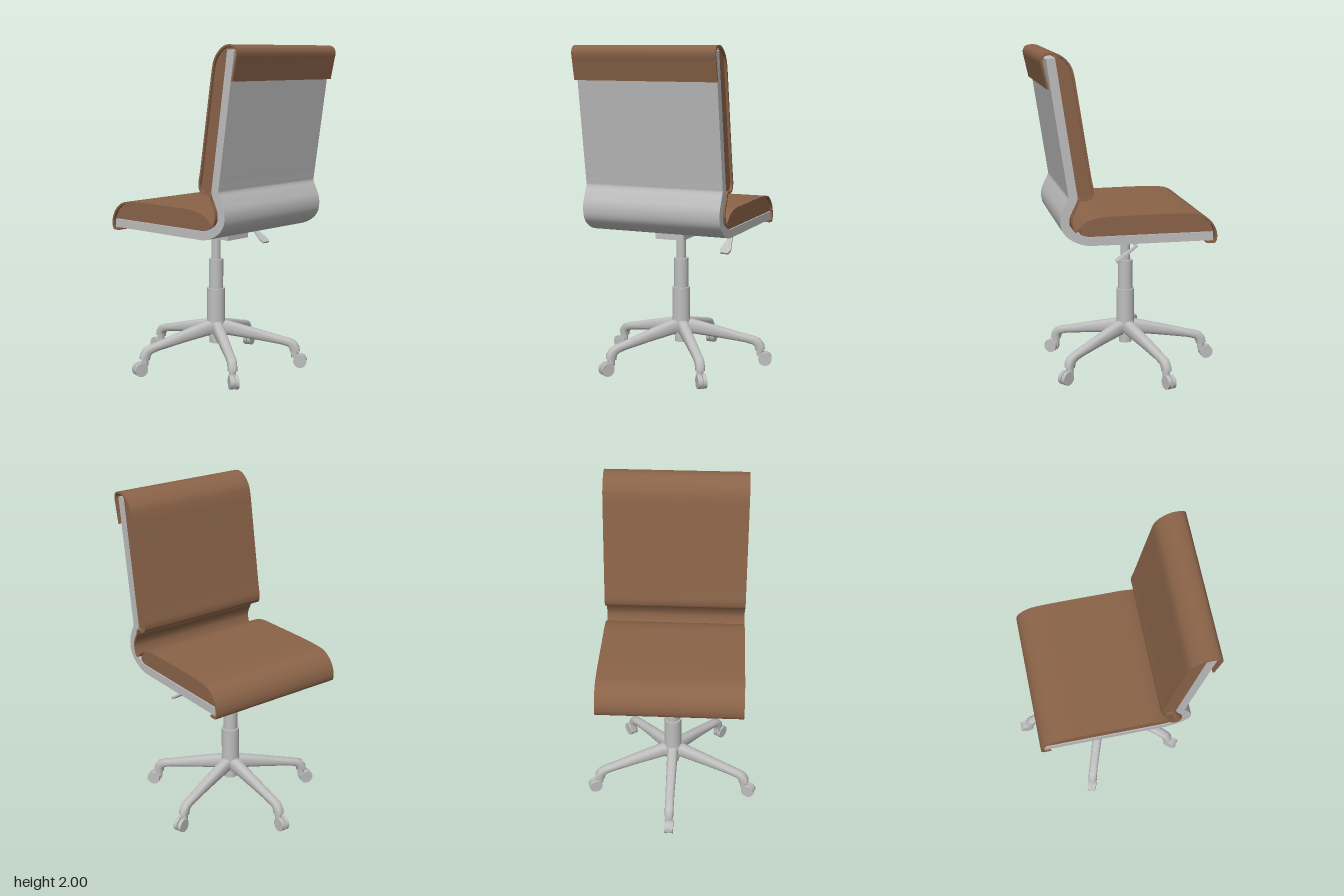
import * as THREE from 'three';
import { toCreasedNormals } from 'three/addons/utils/BufferGeometryUtils.js';

const upholstery = new THREE.MeshStandardMaterial({ color: 0x8a6348 });
upholstery.name = 'brown upholstery';
const grey = new THREE.MeshStandardMaterial({ color: 0xbebebe });
grey.name = 'light grey';

function add(parent, name, geometry, material, x = 0, y = 0, z = 0) {
  const mesh = new THREE.Mesh(geometry, material);
  mesh.name = name;
  mesh.position.set(x, y, z);
  parent.add(mesh);
  return mesh;
}

// Side profile given as (z, y), extruded across the width of the chair
function acrossWidth(points, halfWidth) {
  const geo = new THREE.ExtrudeGeometry(new THREE.Shape(points), { depth: halfWidth * 2, bevelEnabled: false });
  geo.translate(0, 0, -halfWidth);
  geo.rotateY(-Math.PI / 2);
  return toCreasedNormals(geo, 0.6);
}

// Bent sheet of even thickness following a smooth (z, y) centre line
function bentSheet(path, thickness, halfWidth) {
  const curve = new THREE.CatmullRomCurve3(path.map(([z, y]) => new THREE.Vector3(z, y, 0)), false, 'centripetal');
  const n = (path.length - 1) * 5;
  const sideA = [], sideB = [];
  for (let i = 0; i <= n; i++) {
    const p = curve.getPoint(i / n), t = curve.getTangent(i / n);
    const ox = -t.y * thickness / 2, oy = t.x * thickness / 2;
    sideA.push(new THREE.Vector2(p.x + ox, p.y + oy));
    sideB.unshift(new THREE.Vector2(p.x - ox, p.y - oy));
  }
  return acrossWidth([...sideA, ...sideB], halfWidth);
}

const vec2 = (list) => list.map(([a, b]) => new THREE.Vector2(a, b));

// Tapered leg lofted through rounded sections: [radius, y, width, height]
function legGeometry() {
  const stations = [
    [0.02, 0.243, 0.075, 0.095], [0.07, 0.241, 0.07, 0.09], [0.25, 0.205, 0.062, 0.068],
    [0.41, 0.17, 0.056, 0.05], [0.455, 0.159, 0.056, 0.052], [0.482, 0.145, 0.056, 0.058],
    [0.495, 0.122, 0.056, 0.064], [0.498, 0.1, 0.054, 0.062],
  ];
  const sides = 16, pos = [], index = [];
  stations.forEach(([r, y, w, h], i) => {
    const a = stations[Math.max(i - 1, 0)], b = stations[Math.min(i + 1, stations.length - 1)];
    const len = Math.hypot(b[0] - a[0], b[1] - a[1]);
    const tr = (b[0] - a[0]) / len, ty = (b[1] - a[1]) / len;
    for (let j = 0; j < sides; j++) {
      const ang = (j / sides) * Math.PI * 2, c = Math.cos(ang), s = Math.sin(ang);
      const u = Math.sign(c) * Math.abs(c) ** 0.7 * w / 2;
      const v = Math.sign(s) * Math.abs(s) ** 0.7 * h / 2;
      pos.push(u, y + tr * v, r - ty * v);
    }
  });
  for (let i = 0; i < stations.length - 1; i++) {
    for (let j = 0; j < sides; j++) {
      const k = (j + 1) % sides, a = i * sides, b = a + sides;
      index.push(a + j, a + k, b + k, a + j, b + k, b + j);
    }
  }
  // foot cap
  const last = (stations.length - 1) * sides;
  for (let j = 1; j < sides - 1; j++) index.push(last, last + j, last + j + 1);
  const geo = new THREE.BufferGeometry();
  geo.setAttribute('position', new THREE.Float32BufferAttribute(pos, 3));
  geo.setIndex(index);
  return toCreasedNormals(geo, 0.8);
}

function createCaster() {
  const caster = new THREE.Group();
  caster.name = 'caster';
  add(caster, 'casterStem', new THREE.CylinderGeometry(0.022, 0.022, 0.05, 16), grey, 0, 0.087, 0.497);
  const fork = add(caster, 'casterFork', new THREE.BoxGeometry(0.03, 0.05, 0.035), grey, 0, 0.068, 0.505);
  fork.rotation.x = -0.5;
  for (const side of [-1, 1]) {
    const wheel = new THREE.CylinderGeometry(0.042, 0.042, 0.023, 24);
    wheel.rotateZ(Math.PI / 2);
    add(caster, 'casterWheel', wheel, grey, side * 0.0155, 0.042, 0.53);
  }
  const axle = new THREE.CylinderGeometry(0.03, 0.03, 0.02, 16);
  axle.rotateZ(Math.PI / 2);
  add(caster, 'casterAxle', axle, grey, 0, 0.042, 0.53);
  return caster;
}

function createBase() {
  const base = new THREE.Group();
  base.name = 'base';
  const leg = legGeometry();
  for (let i = 0; i < 5; i++) {
    const arm = new THREE.Group();
    arm.name = 'leg';
    add(arm, 'legArm', leg, grey);
    arm.add(createCaster());
    arm.rotation.y = Math.PI + i * Math.PI * 2 / 5;
    base.add(arm);
  }
  // hub and telescopic column: [name, radius, bottom, top]
  const column = [
    ['hubFoot', 0.04, 0.145, 0.2], ['hub', 0.058, 0.19, 0.29], ['lowerColumn', 0.056, 0.28, 0.495],
    ['middleColumn', 0.045, 0.49, 0.68], ['gasPiston', 0.029, 0.675, 0.84],
  ];
  for (const [name, r, lo, hi] of column) {
    add(base, name, new THREE.CylinderGeometry(r, r, hi - lo, 32), grey, 0, (lo + hi) / 2, 0);
  }
  return base;
}

function createMechanism() {
  const mechanism = new THREE.Group();
  mechanism.name = 'mechanism';
  add(mechanism, 'mechanismBox', new THREE.BoxGeometry(0.185, 0.05, 0.375), grey, 0, 0.849, -0.003);
  // mounting plate with cut corners
  const outline = vec2([[0.25, 0.14], [0.17, 0.22], [-0.17, 0.22], [-0.25, 0.14],
    [-0.25, -0.14], [-0.17, -0.22], [0.17, -0.22], [0.25, -0.14]]);
  const plate = new THREE.ExtrudeGeometry(new THREE.Shape(outline), { depth: 0.014, bevelEnabled: false });
  plate.rotateX(-Math.PI / 2);
  add(mechanism, 'mountingPlate', plate, grey, 0, 0.872, 0);
  // height lever and its flared paddle
  const rod = new THREE.CylinderGeometry(0.008, 0.008, 0.26, 12);
  rod.rotateZ(Math.PI / 2);
  add(mechanism, 'leverRod', rod, grey, 0.21, 0.845, 0);
  const paddleShape = new THREE.Shape(vec2([[-0.009, 0.005], [-0.014, -0.03], [-0.035, -0.13],
    [-0.025, -0.155], [0.025, -0.155], [0.035, -0.13], [0.014, -0.03], [0.009, 0.005]]));
  const paddle = new THREE.ExtrudeGeometry(paddleShape, { depth: 0.012, bevelEnabled: false });
  paddle.translate(0, 0, -0.006);
  add(mechanism, 'leverPaddle', paddle, grey, 0.335, 0.845, 0).rotation.x = -0.95;
  return mechanism;
}

export function createModel() {
  const chair = new THREE.Group();
  chair.name = 'officeChair';
  chair.add(createBase(), createMechanism());

  // one-piece shell: flat seat, rounded bend, kinked backrest
  const shellPath = [[-0.44, 0.91], [-0.1, 0.91], [0.25, 0.91], [0.31, 0.912], [0.385, 0.94],
    [0.433, 0.985], [0.442, 1.05], [0.42, 1.11], [0.395, 1.165], [0.398, 1.2], [0.41, 1.28],
    [0.46, 1.61], [0.513, 1.965]];
  add(chair, 'shell', bentSheet(shellPath, 0.052, 0.436), grey);

  // upholstery running from the rear flap, over both cushions, to the front lip
  const coverPath = [[0.53, 1.795], [0.553, 1.9], [0.563, 1.955], [0.551, 1.98], [0.51, 1.99],
    [0.475, 1.984], [0.432, 1.955], [0.402, 1.915], [0.388, 1.87], [0.376, 1.8], [0.297, 1.3],
    [0.281, 1.2], [0.291, 1.17], [0.32, 1.157], [0.35, 1.16], [0.366, 1.148], [0.372, 1.125],
    [0.395, 1.08], [0.404, 1.045], [0.397, 1.005], [0.38, 0.975], [0.355, 0.99], [0.315, 1.022],
    [0.24, 1.045], [0.1, 1.049], [-0.3, 1.047], [-0.37, 1.035], [-0.425, 0.995], [-0.453, 0.945],
    [-0.458, 0.9], [-0.45, 0.877], [-0.43, 0.874], [-0.402, 0.875]];
  add(chair, 'cover', bentSheet(coverPath, 0.012, 0.445), upholstery);

  // padding inside the cover
  const backPad = vec2([[0.367, 1.17], [0.32, 1.162], [0.297, 1.173], [0.286, 1.2], [0.381, 1.8],
    [0.393, 1.87], [0.407, 1.912], [0.436, 1.95], [0.478, 1.979], [0.488, 1.965]]);
  const seatPad = vec2([[0.35, 0.937], [0.35, 0.985], [0.312, 1.017], [0.24, 1.04], [0.1, 1.044],
    [-0.3, 1.042], [-0.367, 1.03], [-0.42, 0.991], [-0.447, 0.937]]);
  add(chair, 'backPadding', acrossWidth(backPad, 0.43), upholstery);
  add(chair, 'seatPadding', acrossWidth(seatPad, 0.43), upholstery);
  return chair;
}
